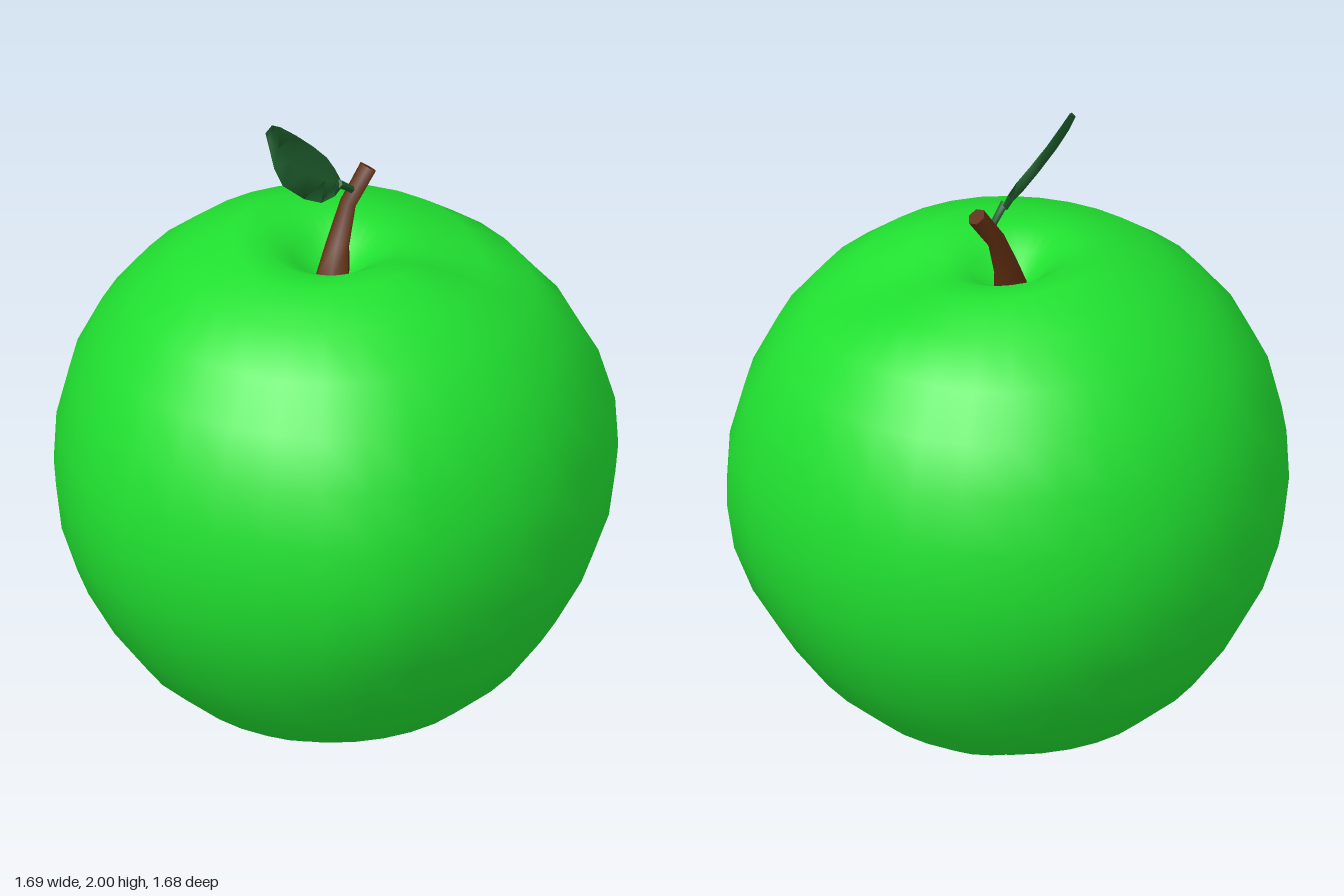
import * as THREE from 'three';
import { mergeVertices } from 'three/addons/utils/BufferGeometryUtils.js';

const bump = (d, w) => Math.exp(-(d * d) / (w * w));
const points2 = list => list.map(([r, y]) => new THREE.Vector2(r, y));

function makeMesh(name, geometry, color, options = {}) {
  const mesh = new THREE.Mesh(geometry, new THREE.MeshStandardMaterial({ color, ...options }));
  mesh.name = name;
  return mesh;
}

// Weld the seams so the shading runs smoothly all round
function smooth(geometry) {
  geometry.deleteAttribute('uv');
  geometry.deleteAttribute('normal');
  const welded = mergeVertices(geometry, 1e-4);
  welded.computeVertexNormals();
  return welded;
}

// Fruit: turned profile, then made gently uneven
function fruitGeometry() {
  const profile = points2([
    [0.14, 0.085], [0.2, 0.045], [0.25, 0.02], [0.31, 0.01], [0.46, 0.095], [0.595, 0.212],
    [0.695, 0.35], [0.775, 0.5], [0.823, 0.65], [0.84, 0.8], [0.832, 0.96], [0.79, 1.13],
    [0.715, 1.28], [0.61, 1.41], [0.47, 1.515], [0.3, 1.575], [0.2, 1.565], [0.12, 1.52],
    [0.06, 1.46], [0, 1.44],
  ]);
  const geometry = new THREE.LatheGeometry(profile, 32);
  const p = geometry.attributes.position;
  for (let i = 0; i < p.count; i++) {
    let x = p.getX(i), y = p.getY(i), z = p.getZ(i);
    const a = Math.atan2(x, z), r = Math.hypot(x, z);
    // fuller front corners and right flank
    const belly = bump(y - 0.85, 0.5);
    const s = 1 + belly * (0.042 * bump(Math.abs(a) - 0.8, 0.25) + 0.025 * bump(a + 1.9, 0.3));
    // uneven crown with a dip in its front left rim
    const crown = THREE.MathUtils.smoothstep(y, 1.3, 1.5);
    y += crown * bump(r - 0.3, 0.15) * (0.014 * Math.cos(2 * a) - 0.006 * Math.cos(a));
    y -= crown * 0.08 * bump(Math.hypot(x - 0.25, z - 0.28), 0.2);
    // shallow waves round the foot
    y += 0.008 * bump(y, 0.06) * (1 - Math.cos(4 * a));
    p.setXYZ(i, x * s, y - 0.006 * bump(y, 0.05), z * s);
  }
  return smooth(geometry);
}

// Tapered six-sided stem following a bent path, with a cap on the end
function stemGeometry(path, radii, sides) {
  const curve = new THREE.CatmullRomCurve3(path.map(q => new THREE.Vector3(...q)));
  const steps = path.length - 1;
  const geometry = new THREE.CylinderGeometry(1, 1, 1, sides, steps);
  const p = geometry.attributes.position;
  const up = new THREE.Vector3(0, 1, 0), v = new THREE.Vector3(), q = new THREE.Quaternion();
  for (let i = 0; i < p.count; i++) {
    const t = THREE.MathUtils.clamp(p.getY(i) + 0.5, 0, 1);
    const radius = radii[Math.round(t * steps)];
    v.set(p.getX(i) * radius, 0, p.getZ(i) * radius);
    q.setFromUnitVectors(up, curve.getTangent(t));
    v.applyQuaternion(q).add(curve.getPoint(t));
    p.setXYZ(i, v.x, v.y, v.z);
  }
  geometry.computeVertexNormals();
  return geometry;
}

// Leaf blade: thin diamond sections between a lower and an upper edge
function leafGeometry() {
  const sections = [ // lower edge, upper edge
    [[0.04, 1.735, 0.005], [0.055, 1.75, -0.005]],
    [[-0.005, 1.73, 0.015], [0.045, 1.79, -0.02]],
    [[-0.07, 1.735, 0.012], [0.03, 1.83, -0.04]],
    [[-0.14, 1.775, 0], [-0.005, 1.875, -0.065]],
    [[-0.215, 1.845, -0.025], [-0.06, 1.93, -0.09]],
    [[-0.225, 1.9, -0.05], [-0.12, 1.98, -0.105]],
    [[-0.205, 1.98, -0.085], [-0.155, 2.0, -0.11]],
  ];
  const positions = [], index = [];
  const normal = new THREE.Vector3(0.22, 0.32, 0.92).normalize();
  sections.forEach(([low, high], i) => {
    const a = new THREE.Vector3(...low), b = new THREE.Vector3(...high);
    const mid = a.clone().lerp(b, 0.5);
    const front = mid.clone().addScaledVector(normal, 0.003);
    const back = mid.clone().addScaledVector(normal, -0.017);
    [a, front, b, back].forEach(v => positions.push(v.x, v.y, v.z));
    if (i === 0) return;
    for (let k = 0; k < 4; k++) {
      const n = (k + 1) % 4, o = (i - 1) * 4, c = i * 4;
      index.push(o + k, o + n, c + k, o + n, c + n, c + k);
    }
  });
  const end = (sections.length - 1) * 4;
  index.push(0, 2, 1, 0, 3, 2, end, end + 1, end + 2, end, end + 2, end + 3);
  const geometry = new THREE.BufferGeometry();
  geometry.setAttribute('position', new THREE.Float32BufferAttribute(positions, 3));
  geometry.setIndex(index);
  geometry.computeVertexNormals();
  return geometry;
}

export function createModel() {
  const group = new THREE.Group();
  group.name = 'apple';

  group.add(makeMesh('fruit', fruitGeometry(), 0x20e030));

  // Dark blossom end in the hollow underneath
  const blossom = new THREE.LatheGeometry(points2([[0, 0.1], [0.08, 0.085], [0.155, 0.072]]), 12);
  group.add(makeMesh('blossomEnd', smooth(blossom), 0x35170a));

  const stem = stemGeometry(
    [[0, 1.43, 0], [0.04, 1.54, -0.008], [0.095, 1.655, -0.01], [0.165, 1.758, 0.015]],
    [0.06, 0.04, 0.029, 0.03], 6);
  group.add(makeMesh('stem', stem, 0x5c2c10));

  const leaf = new THREE.Group();
  leaf.name = 'leaf';
  const leafStalk = stemGeometry(
    [[0.118, 1.69, 0], [0.085, 1.715, 0], [0.035, 1.752, 0]], [0.013, 0.012, 0.014], 6);
  leaf.add(makeMesh('leafStalk', leafStalk, 0x1c5a2a));
  leaf.add(makeMesh('leafBlade', leafGeometry(), 0x1c5a2a, { side: THREE.DoubleSide }));
  group.add(leaf);

  return group;
}
